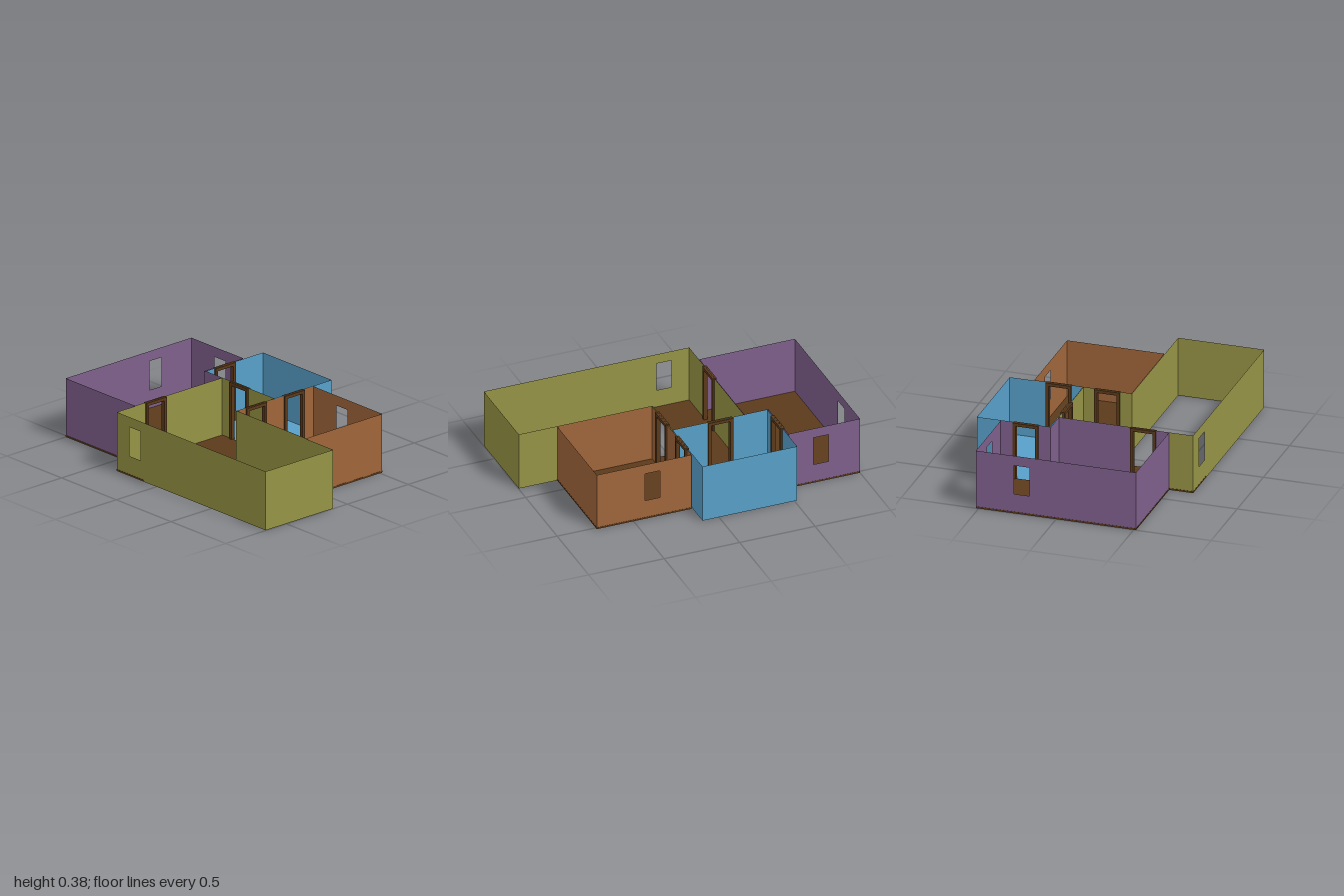
import * as THREE from 'three';

const HEIGHT = 0.385;
const BROWN = 0x5c3a1a;

// Openings in the walls: centre and the axis the wall runs along
const doors = [
  { x: -0.205, z: -0.2, axis: 'x' },
  { x: -0.52, z: -0.357, axis: 'z' },
  { x: 0.113, z: -0.357, axis: 'z' },
  { x: 0.113, z: -0.045, axis: 'z' },
  { x: -0.365, z: 0.35, axis: 'z' },
].map(d => ({ ...d, width: 0.165, bottom: 0, top: 0.365 }));

const windows = [
  { x: -0.197, z: 0.668, axis: 'x' },
  { x: -0.74, z: -0.517, axis: 'x' },
  { x: 0.375, z: -0.517, axis: 'x' },
  { x: -1, z: -0.222, axis: 'z' },
].map(w => ({ ...w, width: 0.1, bottom: 0.13, top: 0.32 }));

const rooms = [
  { name: 'purpleRoom', color: 0x7f608c, corners: [[-0.999, -0.517], [-0.526, -0.517], [-0.526, -0.196], [-0.367, -0.196], [-0.367, 0.515], [-0.999, 0.515]] },
  { name: 'blueRoom', color: 0x58a0c9, corners: [[-0.518, -0.673], [0.109, -0.673], [0.109, -0.202], [-0.518, -0.202]] },
  { name: 'orangeRoom', color: 0xa0653a, corners: [[0.116, -0.517], [0.744, -0.517], [0.744, 0.109], [0.116, 0.109]] },
  { name: 'greenRoom', color: 0x969445, corners: [[-0.363, -0.198], [0.11, -0.198], [0.11, 0.114], [0.997, 0.114], [0.997, 0.669], [-0.363, 0.669]] },
];

const material = (color) => new THREE.MeshStandardMaterial({ color, side: THREE.DoubleSide });

// Thin wall between two corners, cut by every opening that lies on it
function makeWall([x0, z0], [x1, z1], mat) {
  const dx = x1 - x0, dz = z1 - z0, length = Math.hypot(dx, dz);
  const axis = Math.abs(dx) > Math.abs(dz) ? 'x' : 'z';
  const along = (o) => ((o.x - x0) * dx + (o.z - z0) * dz) / length;
  const onWall = (o) => {
    const offset = axis === 'x' ? o.z - z0 : o.x - x0;
    return o.axis === axis && Math.abs(offset) < 0.02 && along(o) > 0 && along(o) < length;
  };

  const shape = new THREE.Shape();
  shape.moveTo(0, 0);
  doors.filter(onWall).sort((a, b) => along(a) - along(b)).forEach(d => {
    const a = along(d) - d.width / 2, b = along(d) + d.width / 2;
    shape.lineTo(a, 0).lineTo(a, d.top).lineTo(b, d.top).lineTo(b, 0);
  });
  shape.lineTo(length, 0).lineTo(length, HEIGHT).lineTo(0, HEIGHT).lineTo(0, 0);

  windows.filter(onWall).forEach(w => {
    const a = along(w) - w.width / 2, b = along(w) + w.width / 2;
    const hole = new THREE.Path();
    hole.moveTo(a, w.bottom).lineTo(a, w.top).lineTo(b, w.top).lineTo(b, w.bottom).lineTo(a, w.bottom);
    shape.holes.push(hole);
  });

  const wall = new THREE.Mesh(new THREE.ShapeGeometry(shape), mat);
  wall.position.set(x0, 0, z0);
  wall.rotation.y = -Math.atan2(dz, dx);
  wall.name = 'wall';
  return wall;
}

// Two posts and a lintel around a door opening
function makeDoorFrame(door, mat) {
  const frame = new THREE.Group();
  const post = 0.02, depth = 0.026;
  const add = (name, w, h, x, y) => {
    const bar = new THREE.Mesh(new THREE.BoxGeometry(w, h, depth), mat);
    bar.position.set(x, y, 0);
    bar.name = name;
    frame.add(bar);
  };
  const top = HEIGHT - 0.001, postHeight = top - post;
  for (const side of [-1, 1]) {
    add('doorPost', post, postHeight, side * (door.width - post) / 2, postHeight / 2);
  }
  add('doorLintel', door.width, post, 0, top - post / 2);
  frame.position.set(door.x, 0, door.z);
  if (door.axis === 'z') frame.rotation.y = Math.PI / 2;
  frame.name = 'doorFrame';
  return frame;
}

// Flat slab from an outline of [x, z] corners
function makeFloor(name, corners, bottom, thickness, mat) {
  const shape = new THREE.Shape(corners.map(([x, z]) => new THREE.Vector2(x, -z)));
  const geometry = new THREE.ExtrudeGeometry(shape, { depth: thickness, bevelEnabled: false });
  geometry.rotateX(-Math.PI / 2);
  const floor = new THREE.Mesh(geometry, mat);
  floor.position.y = bottom;
  floor.name = name;
  return floor;
}

export function createModel() {
  const model = new THREE.Group();
  model.name = 'house';
  const brown = material(BROWN);

  // Coloured room shells
  for (const { name, color, corners } of rooms) {
    const room = new THREE.Group();
    const mat = material(color);
    room.name = name;
    corners.forEach((c, i) => room.add(makeWall(c, corners[(i + 1) % corners.length], mat)));
    if (name === 'blueRoom') room.add(makeFloor('blueFloor', corners, 0.002, 0.004, mat));
    model.add(room);
  }

  // Wooden floor around the blue room; the front right area stays open
  model.add(makeFloor('woodFloor', [
    [-1, -0.518], [-0.524, -0.518], [-0.524, -0.2], [0.113, -0.2], [0.113, -0.518], [0.745, -0.518],
    [0.745, 0.112], [-0.115, 0.112], [-0.115, 0.67], [-0.365, 0.67], [-0.365, 0.517], [-1, 0.517],
  ], 0.003, 0.009, brown));

  doors.forEach(door => model.add(makeDoorFrame(door, brown)));
  return model;
}
